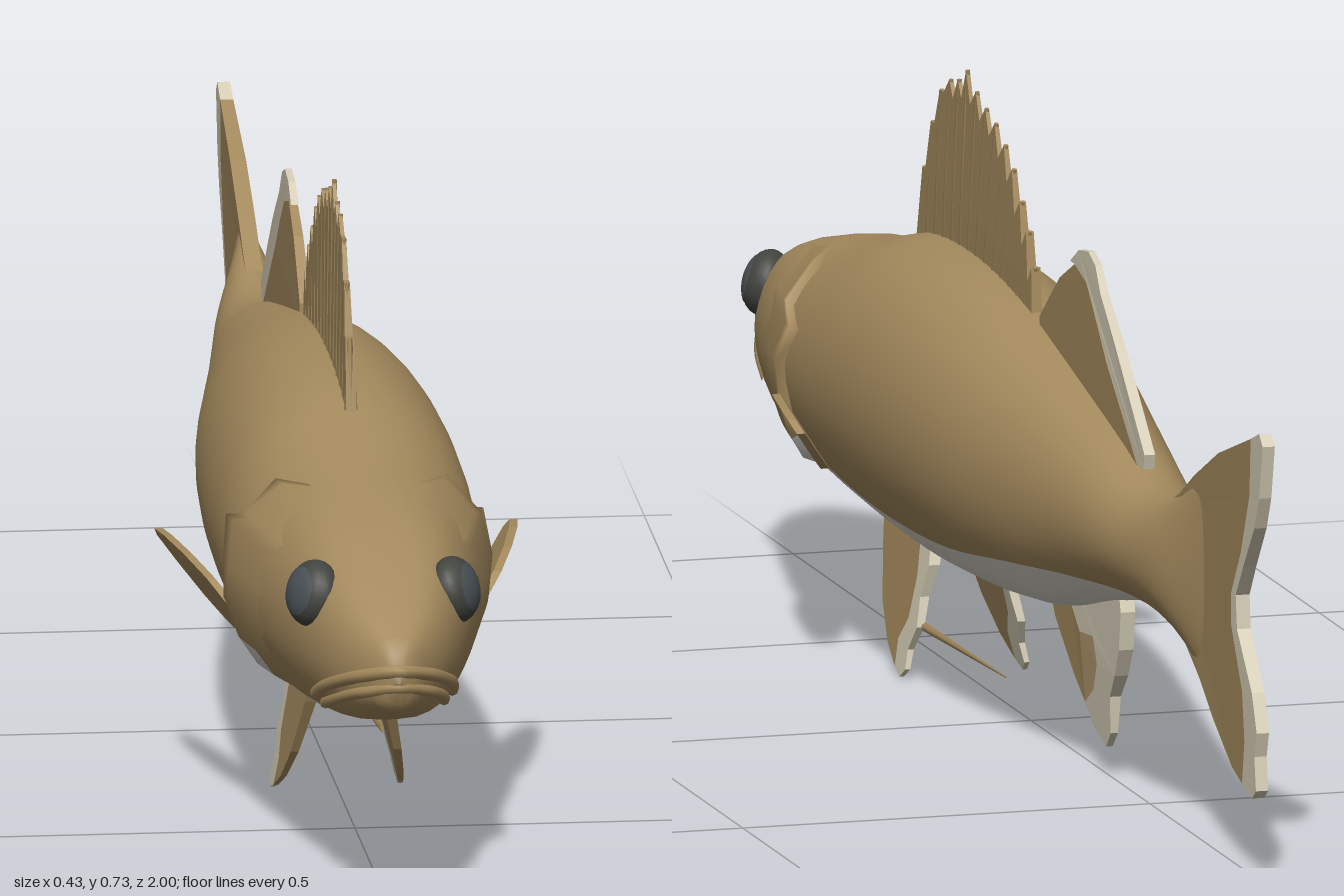
import * as THREE from 'three';

const skin = new THREE.MeshStandardMaterial({ name: 'tanSkin', color: 0xa48a5d });
const belly = new THREE.MeshStandardMaterial({ name: 'paleBelly', color: 0xd5d2c7 });
const edge = new THREE.MeshStandardMaterial({ name: 'creamFinEdge', color: 0xd5cdb6 });
const beige = new THREE.MeshStandardMaterial({ name: 'beigeFinPatch', color: 0xb59d70 });
const iris = new THREE.MeshStandardMaterial({ name: 'darkIris', color: 0x42443f });
const pupil = new THREE.MeshStandardMaterial({ name: 'slatePupil', color: 0x495055 });

// Body stations: z, top, bottom, half width, height where the pale belly starts
const stations = [
  [-0.77, 0.45, 0.19, 0.006, 0.19], [-0.72, 0.435, 0.21, 0.022, 0.21], [-0.66, 0.405, 0.238, 0.042, 0.238],
  [-0.55, 0.388, 0.25, 0.06, 0.26], [-0.4, 0.42, 0.225, 0.08, 0.255], [-0.2, 0.462, 0.178, 0.11, 0.237],
  [0, 0.5, 0.157, 0.137, 0.214], [0.2, 0.518, 0.15, 0.15, 0.207], [0.4, 0.508, 0.157, 0.152, 0.212],
  [0.5, 0.485, 0.165, 0.15, 0.23], [0.6, 0.463, 0.176, 0.142, 0.222], [0.7, 0.446, 0.19, 0.127, 0.221],
  [0.78, 0.428, 0.205, 0.11, 0.221], [0.86, 0.4, 0.22, 0.088, 0.22], [0.92, 0.372, 0.236, 0.064, 0.236],
  [0.96, 0.35, 0.252, 0.04, 0.252], [0.985, 0.331, 0.268, 0.02, 0.268], [0.995, 0.302, 0.296, 0.003, 0.296],
];
const profile = new THREE.CubicInterpolant(
  stations.map((s) => s[0]), stations.flatMap((s) => s.slice(1)), 4);

function section(z) {
  const [top, bottom, width, pale] = Array.from(profile.evaluate(z));
  return { cy: (top + bottom) / 2, h: (top - bottom) / 2, width, pale,
    power: 1 - 0.35 * THREE.MathUtils.smoothstep(z, 0.5, 0.85) };
}

// Point on the body skin at a station and ring angle, pushed out by an offset
function skinPoint(z, angle, out = 0) {
  const s = section(z), c = Math.cos(angle);
  return [(s.width + out) * Math.sign(c) * Math.abs(c) ** s.power, s.cy + (s.h + out) * Math.sin(angle), z];
}

function angleAt(z, y) {
  const s = section(z);
  return Math.asin(THREE.MathUtils.clamp((y - s.cy) / s.h, -0.98, 0.98));
}

// Surface through rows of points; materialOf(row, column) gives each face's material index
function grid(rows, wrap, materialOf) {
  const n = rows[0].length, lists = [[], []];
  for (let i = 0; i < rows.length - 1; i++) {
    for (let j = 0; j < (wrap ? n : n - 1); j++) {
      const k = (j + 1) % n, a = i * n + j, b = i * n + k, c = a + n, d = b + n;
      lists[materialOf(i, j)].push(a, c, b, b, c, d);
    }
  }
  const g = new THREE.BufferGeometry();
  g.setAttribute('position', new THREE.Float32BufferAttribute(rows.flat(2), 3));
  g.setIndex([...lists[0], ...lists[1]]);
  g.addGroup(0, lists[0].length, 0);
  g.addGroup(lists[0].length, lists[1].length, 1);
  g.computeVertexNormals();
  return g;
}

function add(parent, name, geometry, material) {
  const m = new THREE.Mesh(geometry, material);
  m.name = name;
  parent.add(m);
}

// Thin plate from a [z, y] outline; warp(x, y, z) returns the new x
function plate(points, thickness, warp) {
  const shape = new THREE.Shape(points.map(([z, y]) => new THREE.Vector2(z, y)));
  const g = new THREE.ExtrudeGeometry(shape, { depth: thickness, bevelEnabled: false });
  g.translate(0, 0, -thickness / 2).rotateY(-Math.PI / 2);
  const p = g.attributes.position;
  for (let i = 0; i < p.count; i++) p.setX(i, warp(p.getX(i), p.getY(i), p.getZ(i)));
  g.computeVertexNormals();
  return g;
}

function rod(from, to, r0, r1) {
  const a = new THREE.Vector3(...from), b = new THREE.Vector3(...to), d = b.clone().sub(a);
  const g = new THREE.CylinderGeometry(r1, r0, d.length(), 5);
  g.applyQuaternion(new THREE.Quaternion().setFromUnitVectors(new THREE.Vector3(0, 1, 0), d.normalize()));
  return g.translate(...a.add(b).multiplyScalar(0.5).toArray());
}

function buildBody(fish) {
  const rows = [], upper = 30, lower = 10;
  for (let i = 0; i <= 64; i++) {
    const z = 0.1125 + 0.8825 * Math.cos((Math.PI * i) / 64), s = section(z);
    const start = Math.max(-Math.PI / 2 + 0.04, Math.asin(THREE.MathUtils.clamp((s.pale - s.cy) / s.h, -1, 1)));
    const row = [];
    for (let j = 0; j < upper; j++) row.push(skinPoint(z, start + ((Math.PI - 2 * start) * j) / upper));
    for (let j = 0; j < lower; j++) row.push(skinPoint(z, Math.PI - start + ((Math.PI + 2 * start) * j) / lower));
    rows.push(row);
  }
  add(fish, 'body', grid(rows, true, (i, j) => (j >= upper && rows[i][0][2] < 0.86 && rows[i][0][2] > -0.6 ? 1 : 0)), [skin, belly]);
}

// Raised cover with a ragged rear edge, fading into the cheek, pale at its lower rear
function buildGillCover(fish, side) {
  const rear = [[0.445, 0.62], [0.435, 0.57], [0.395, 0.56], [0.38, 0.495], [0.335, 0.53],
    [0.29, 0.515], [0.248, 0.525], [0.222, 0.545], [0.185, 0.61]];
  const rows = rear.map(([y, back], i) => {
    const row = [], rise = i === 0 || i === 8 ? 0.004 : 0.012;
    for (let j = -1; j <= 8; j++) {
      const u = Math.max(j, 0) / 8, z = back + (0.74 - back) * u;
      const p = skinPoint(z, angleAt(z, y), j < 0 ? -0.01 : rise - (rise + 0.004) * u);
      row.push([p[0] * side, p[1], p[2]]);
    }
    return side > 0 ? row.reverse() : row;
  });
  const isPale = (i, j) => (i === 7 || (i === 6 && (side > 0 ? 8 - j : j) <= 3) ? 1 : 0);
  add(fish, 'gillCover', grid(rows, false, isPale), [skin, belly]);
}

// Lip following the snout from corner to corner
function buildLip(fish, name, path, tip, radius) {
  const half = path.map(([z, y]) => new THREE.Vector3(...skinPoint(z, angleAt(z, y))));
  const other = half.map((p) => new THREE.Vector3(-p.x, p.y, p.z)).reverse();
  const curve = new THREE.CatmullRomCurve3([...half, new THREE.Vector3(...tip), ...other]);
  add(fish, name, new THREE.TubeGeometry(curve, 40, radius, 8), skin);
}

// Dark flattened eye with a slate cap on its outer face
function buildEye(fish, side) {
  const eye = new THREE.Group();
  eye.name = 'eye';
  add(eye, 'iris', new THREE.SphereGeometry(1, 20, 14), iris);
  add(eye, 'pupil', new THREE.SphereGeometry(1.02, 20, 8, 0, Math.PI * 2, 0, 0.8).rotateZ((-side * Math.PI) / 2), pupil);
  eye.scale.set(0.028, 0.04, 0.04);
  eye.position.set(side * 0.084, 0.367, 0.826);
  eye.rotation.set(0, side * -0.4, side * 0.25);
  fish.add(eye);
}

function buildDorsalFins(fish) {
  // Spiny fin: tips on an arched margin with notches between
  const tips = [[0.44, 0.58], [0.41, 0.64], [0.375, 0.685], [0.335, 0.705], [0.3, 0.712], [0.265, 0.73], [0.225, 0.712],
    [0.185, 0.7], [0.145, 0.69], [0.105, 0.672], [0.07, 0.65], [0.035, 0.618], [0.005, 0.588], [-0.02, 0.55]];
  const outline = [[0.46, 0.49]];
  tips.forEach(([z, y], i) => {
    outline.push([z, y]);
    const next = tips[i + 1];
    if (next) outline.push([z * 0.6 + next[0] * 0.4, Math.min(y, next[1]) - (i < 3 ? 0 : 0.02)]);
  });
  outline.push([-0.025, 0.49]);
  const taper = (x, y) => x * (1 - 0.65 * THREE.MathUtils.smoothstep(y, 0.48, 0.72));
  add(fish, 'spinyDorsalFin', plate(outline, 0.013, taper), skin);
  tips.forEach(([z, y], i) => add(fish, 'dorsalSpine', rod([0, 0.495, 0.45 - i * 0.034], [0, y, z], 0.0085, 0.003), skin));

  // Soft fin with a pale rear margin
  const inner = [[-0.2, 0.59], [-0.25, 0.578], [-0.29, 0.545], [-0.34, 0.5], [-0.42, 0.44], [-0.47, 0.402]];
  add(fish, 'softDorsalFin', plate([[-0.06, 0.48], [-0.06, 0.5], [-0.14, 0.562], ...inner, [-0.4, 0.4], [-0.2, 0.44]], 0.014, taper), skin);
  add(fish, 'softDorsalEdge', plate([[-0.18, 0.59], [-0.215, 0.61], [-0.255, 0.616], [-0.285, 0.605], [-0.31, 0.575], [-0.37, 0.53],
    [-0.43, 0.48], [-0.5, 0.42], [-0.495, 0.402], ...inner.slice().reverse()], 0.013, taper), edge);
}

function buildTailAndAnalFins(fish) {
  const taper = (x, y, z) => x * (1 - 0.25 * THREE.MathUtils.smoothstep(-z, 0.75, 1));
  const inner = [[-0.95, 0.53], [-0.945, 0.46], [-0.91, 0.385], [-0.872, 0.33], [-0.872, 0.29], [-0.915, 0.22], [-0.925, 0.16], [-0.915, 0.108]];
  add(fish, 'tailFin', plate([[-0.61, 0.385], [-0.66, 0.407], [-0.72, 0.44], [-0.82, 0.487], ...inner,
    [-0.875, 0.12], [-0.8, 0.162], [-0.74, 0.202], [-0.68, 0.232], [-0.61, 0.25]], 0.02, taper), skin);
  add(fish, 'tailFinEdge', plate([[-0.985, 0.543], [-1, 0.53], [-0.985, 0.465], [-0.965, 0.425], [-0.92, 0.37], [-0.89, 0.33],
    [-0.895, 0.29], [-0.955, 0.225], [-0.975, 0.18], [-0.965, 0.15], [-0.972, 0.11], [-0.955, 0.098],
    ...inner.slice().reverse()], 0.02, taper), edge);

  // Anal fin: tan and beige leading patches inside a broad pale margin
  const thin = (x, y) => x * (0.45 + 0.55 * THREE.MathUtils.smoothstep(y, 0.03, 0.16));
  const patch = [[-0.235, 0.155], [-0.29, 0.16], [-0.305, 0.13], [-0.285, 0.095], [-0.245, 0.072]];
  add(fish, 'analFin', plate([[-0.115, 0.18], [-0.13, 0.155], [-0.2, 0.1], [-0.245, 0.072], [-0.235, 0.155], [-0.2, 0.18]], 0.018, thin), skin);
  add(fish, 'analFinPatch', plate(patch, 0.018, thin), beige);
  add(fish, 'analFinEdge', plate([[-0.2, 0.18], ...patch, [-0.28, 0.05], [-0.33, 0.035], [-0.35, 0.055], [-0.355, 0.1], [-0.38, 0.13],
    [-0.4, 0.165], [-0.408, 0.212], [-0.4, 0.235], [-0.2, 0.22]], 0.018, thin), edge);
}

function buildPairedFins(fish, side) {
  // Pectoral fin sweeps back and outward, its outer face tilted down
  const spread = (x, y, z) => side * (0.152 + (0.5 - z) * 0.16 + (y - 0.28) * 0.65) + x;
  add(fish, 'pectoralFin', plate([[0.535, 0.275], [0.49, 0.305], [0.42, 0.318], [0.34, 0.321], [0.285, 0.317], [0.265, 0.304],
    [0.29, 0.278], [0.34, 0.248], [0.4, 0.231], [0.47, 0.228], [0.525, 0.25]], 0.01, spread), skin);

  // Pelvic fin splays down and out, pale along its rear
  const splay = (x, y) => side * (0.042 + (0.16 - y) * 0.21) + x * (0.4 + 4 * Math.max(y, 0));
  const inner = [[0.31, 0.008], [0.315, 0.04], [0.29, 0.07], [0.285, 0.12], [0.3, 0.175]];
  add(fish, 'pelvicFin', plate([[0.455, 0.175], [0.44, 0.14], [0.4, 0.07], [0.355, 0.03], ...inner], 0.014, splay), skin);
  add(fish, 'pelvicFinEdge', plate([[0.285, 0], [0.268, 0.012], [0.272, 0.035], [0.252, 0.065], [0.26, 0.1],
    [0.248, 0.14], [0.26, 0.175], ...inner.slice().reverse()], 0.014, splay), edge);
}

export function createModel() {
  const fish = new THREE.Group();
  fish.name = 'fish';
  buildBody(fish);
  buildLip(fish, 'upperLip', [[0.83, 0.247], [0.88, 0.268], [0.93, 0.287], [0.965, 0.3]], [0, 0.31, 0.991], 0.008);
  buildLip(fish, 'lowerLip', [[0.835, 0.236], [0.885, 0.252], [0.93, 0.268], [0.965, 0.28]], [0, 0.29, 0.989], 0.007);
  for (const side of [1, -1]) {
    buildGillCover(fish, side);
    buildPairedFins(fish, side);
    buildEye(fish, side);
  }
  buildDorsalFins(fish);
  buildTailAndAnalFins(fish);
  // Loose trailing ray on the left pelvic fin
  add(fish, 'trailingRay', rod([0.058, 0.066, 0.28], [0.036, 0.058, -0.02], 0.006, 0.001), skin);
  return fish;
}
